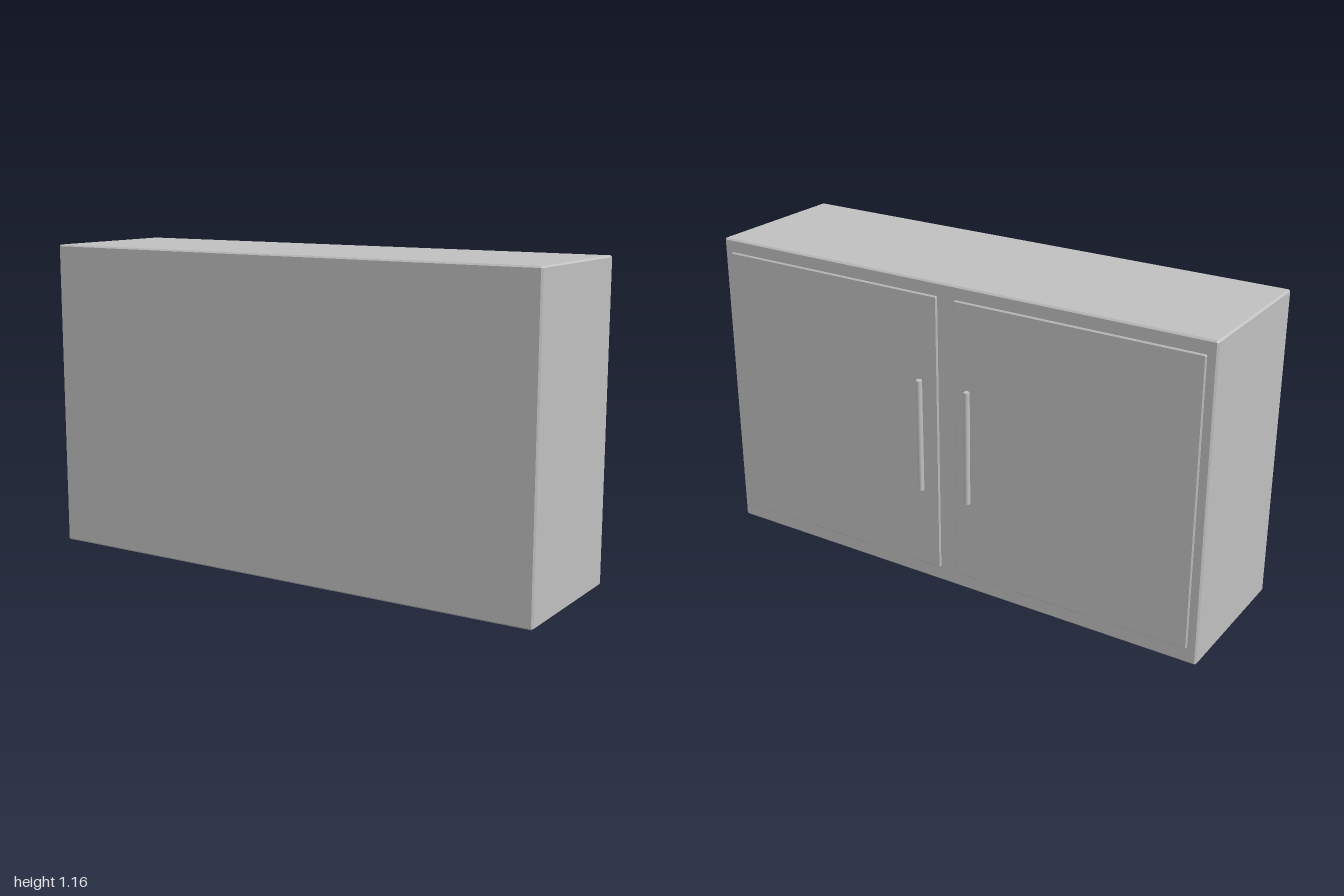
import * as THREE from 'three';
import { ConvexGeometry } from 'three/addons/geometries/ConvexGeometry.js';

// Box with flat chamfered edges, centred on the origin
function chamferedBox(w, h, d, c) {
  const points = [];
  for (const sx of [-1, 1]) for (const sy of [-1, 1]) for (const sz of [-1, 1]) {
    const x = w / 2, y = h / 2, z = d / 2;
    points.push(
      new THREE.Vector3(sx * x, sy * (y - c), sz * (z - c)),
      new THREE.Vector3(sx * (x - c), sy * y, sz * (z - c)),
      new THREE.Vector3(sx * (x - c), sy * (y - c), sz * z)
    );
  }
  return new ConvexGeometry(points);
}

export function createModel() {
  const group = new THREE.Group();
  const grey = new THREE.MeshStandardMaterial({ color: 0xc0c0c0 });
  grey.name = 'light grey';

  function add(name, geometry, x, y, z) {
    const mesh = new THREE.Mesh(geometry, grey);
    mesh.name = name;
    mesh.position.set(x, y, z);
    group.add(mesh);
  }

  // Cabinet body
  add('cabinetBody', chamferedBox(2, 1.165, 0.581, 0.006), 0, 0.5825, 0.0185);

  // Pair of doors on the -z side, each with a round bar handle
  const doorGeometry = chamferedBox(0.93, 1.06, 0.018, 0.004);
  const handleGeometry = new THREE.CylinderGeometry(0.011, 0.011, 0.43, 24);
  for (const [side, s] of [['left', 1], ['right', -1]]) {
    add(side + 'Door', doorGeometry, s * 0.5, 0.585, -0.27);
    add(side + 'Handle', handleGeometry, s * 0.1, 0.585, -0.298);
  }
  return group;
}
